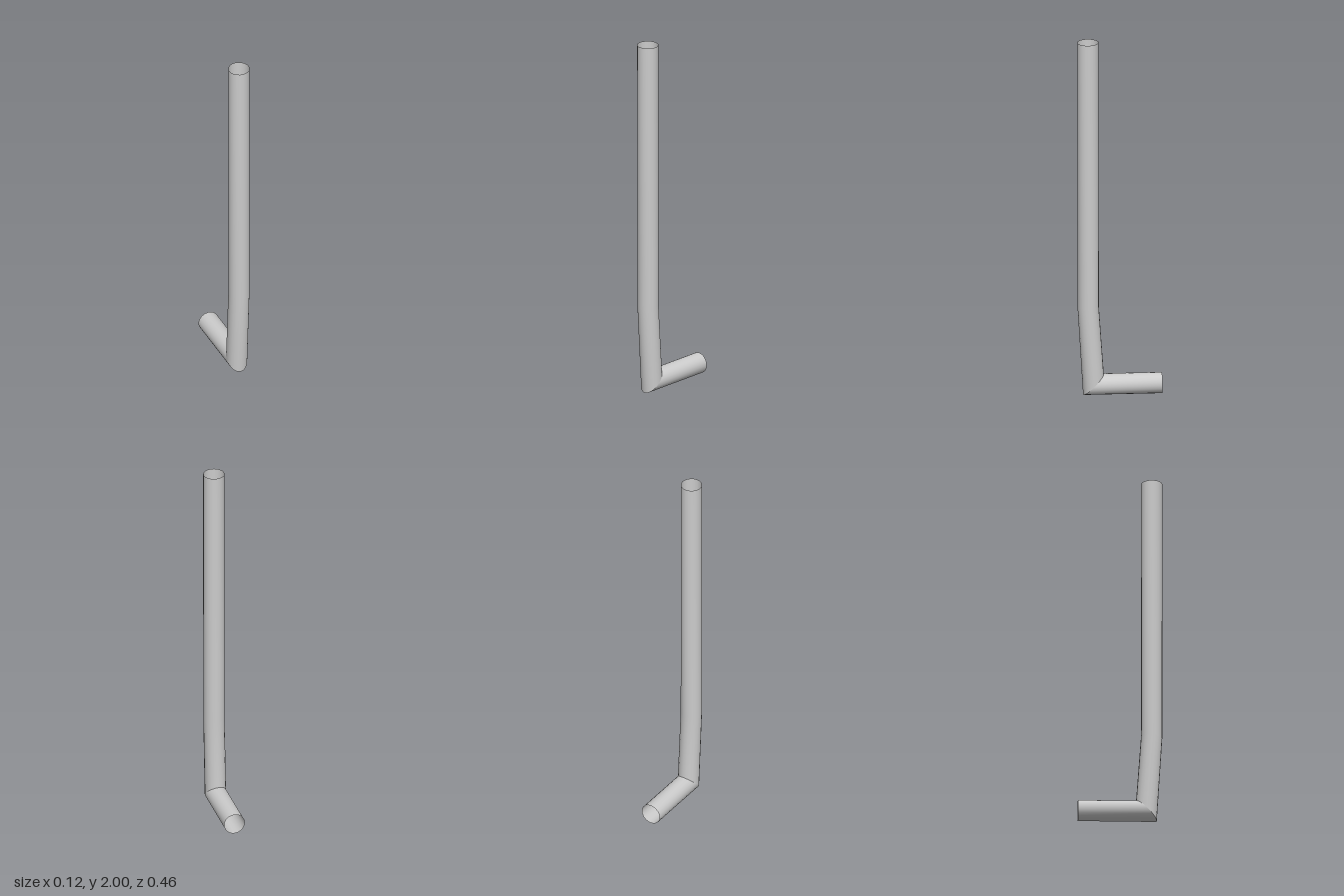
import * as THREE from 'three';

const RADIUS = 0.0575;
const SIDES = 20;

// Open tube skinned over rings; each ring is [outerY, outerZ, innerY, innerZ],
// so slanted rings make mitred joints.
function tube(name, rings, material) {
  const positions = [], index = [];
  rings.forEach(([oy, oz, iy, iz], j) => {
    for (let i = 0; i < SIDES; i++) {
      const a = (i / SIDES) * Math.PI * 2;
      const t = (1 - Math.cos(a)) / 2; // 0 at the outer edge, 1 at the inner edge
      positions.push(RADIUS * Math.sin(a), oy + (iy - oy) * t, oz + (iz - oz) * t);
      if (j === rings.length - 1) continue;
      const n = (i + 1) % SIDES;
      const tl = j * SIDES + i, tr = j * SIDES + n;
      const bl = tl + SIDES, br = tr + SIDES;
      index.push(tl, bl, br, tl, br, tr);
    }
  });
  const geometry = new THREE.BufferGeometry();
  geometry.setAttribute('position', new THREE.Float32BufferAttribute(positions, 3));
  geometry.setIndex(index);
  geometry.computeVertexNormals();
  const mesh = new THREE.Mesh(geometry, material);
  mesh.name = name;
  return mesh;
}

export function createModel() {
  const group = new THREE.Group();
  group.name = 'bentPipe';
  const material = new THREE.MeshStandardMaterial({ color: 0xcccccc, side: THREE.DoubleSide });

  const top = [2, 0.228, 2, 0.113];
  const bend = [0.498, 0.227, 0.502, 0.112];
  const elbow = [0, 0.197, 0.114, 0.085];
  const backEnd = [0, -0.229, 0.114, -0.229];

  // Long upright with a slight bend near its foot
  group.add(tube('uprightPipe', [top, bend, elbow], material));
  // Short horizontal foot meeting the upright in a mitre
  group.add(tube('footPipe', [elbow, backEnd], material));
  return group;
}
